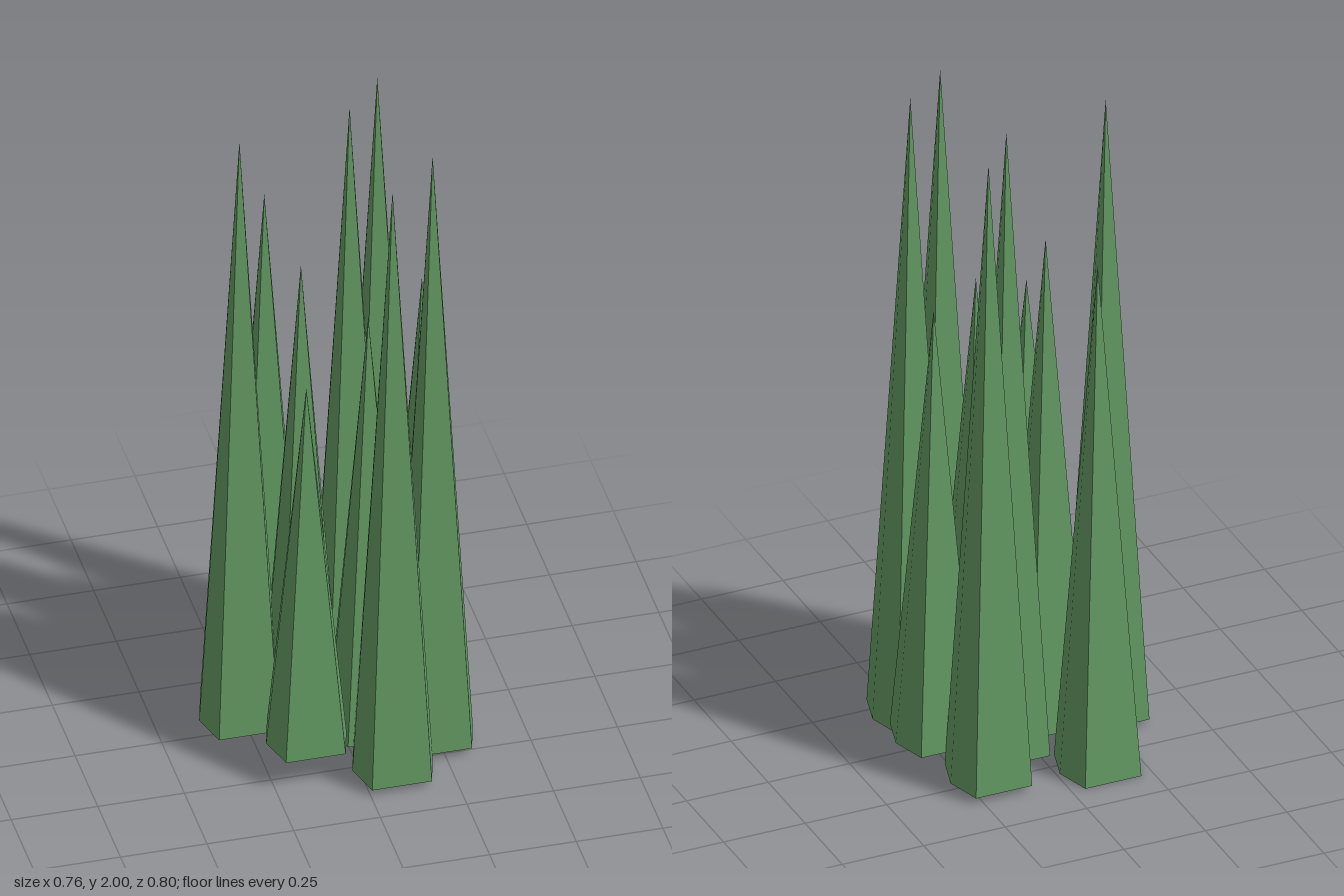
import * as THREE from 'three';

// Six-sided spike standing on y = 0, one unit tall, with a slightly boxy hexagon base
function spikeGeometry() {
  const geometry = new THREE.ConeGeometry(1, 1, 6, 1, false, Math.PI / 6);
  geometry.translate(0, 0.5, 0);
  const p = geometry.attributes.position;
  for (let i = 0; i < p.count; i++) {
    const x = p.getX(i);
    // side corners reach 0.116, front and back corners 0.086
    p.setX(i, x * (Math.abs(x) > 0.7 ? 0.116 : 0.172));
    p.setZ(i, p.getZ(i) * 0.1223);
  }
  geometry.computeVertexNormals();
  return geometry;
}

export function createModel() {
  const group = new THREE.Group();
  group.name = 'spikeCluster';
  const material = new THREE.MeshStandardMaterial({ color: 0x649b64, flatShading: true });
  const geometry = spikeGeometry();

  // Each spike: x, z, base height, tip height
  const spikes = [
    [-0.127, -0.294, 0, 1.615],
    [0.187, -0.248, 0.02, 1.99],
    [0.073, -0.118, 0.02, 2],
    [0.262, -0.043, 0.06, 1.43],
    [-0.263, -0.049, 0.02, 1.99],
    [-0.095, -0.013, 0.02, 1.56],
    [0.073, 0.088, 0.03, 1.42],
    [0.238, 0.167, 0.02, 2],
    [-0.138, 0.211, 0.1, 1.3],
    [0.09, 0.291, 0.02, 1.99],
  ];
  spikes.forEach(([x, z, base, tip], i) => {
    const spike = new THREE.Mesh(geometry, material);
    spike.name = `spike${i + 1}`;
    spike.position.set(x, base, z);
    spike.scale.y = tip - base;
    group.add(spike);
  });
  return group;
}
